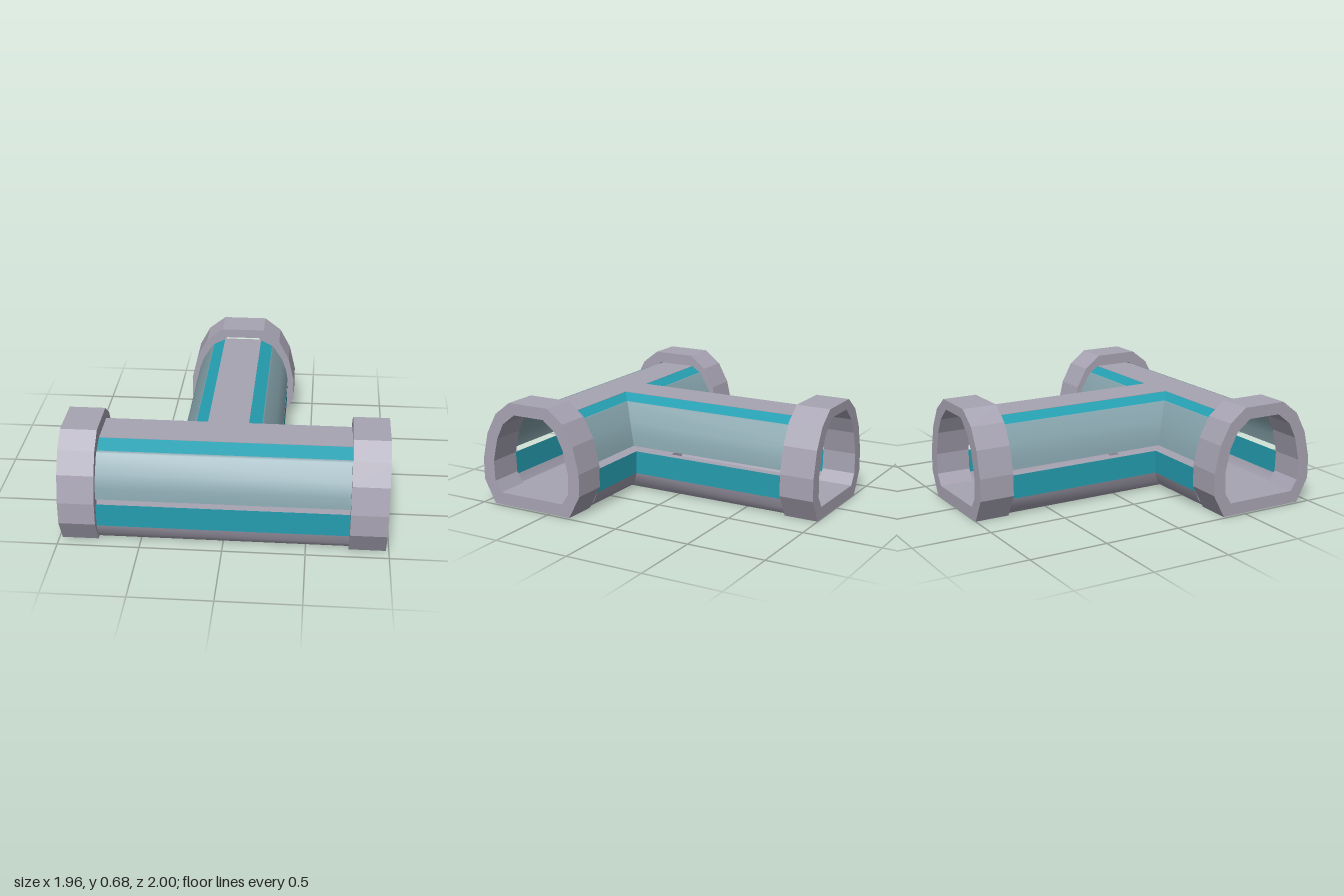
import * as THREE from 'three';

const steel = new THREE.MeshStandardMaterial({ color: 0xa8a4b4, side: THREE.DoubleSide });
const teal = new THREE.MeshStandardMaterial({ color: 0x259fb1, side: THREE.DoubleSide });
const glass = new THREE.MeshStandardMaterial({ color: 0x86a3ac, side: THREE.DoubleSide });
steel.name = 'steel grey';
teal.name = 'teal trim';
glass.name = 'window grey';

const END_X = 0.77, END_Z = -0.79, MAIN_Z = 0.635;

// Surface between equally long rows of points, smooth within itself
function sheet(rows) {
  const n = rows[0].length, index = [];
  for (let r = 0; r < rows.length - 1; r++) {
    for (let c = 0; c < n - 1; c++) {
      const a = r * n + c, b = a + n;
      index.push(a, a + 1, b, b, a + 1, b + 1);
    }
  }
  const g = new THREE.BufferGeometry();
  g.setAttribute('position', new THREE.Float32BufferAttribute(rows.flat(2), 3));
  g.setIndex(index);
  g.computeVertexNormals();
  return g;
}

// T-shaped slab lying flat between two heights
function tSlab(halfStem, zBack, zFront, y0, y1) {
  const pts = [[-END_X, zFront], [END_X, zFront], [END_X, zBack], [halfStem, zBack],
    [halfStem, END_Z], [-halfStem, END_Z], [-halfStem, zBack], [-END_X, zBack]];
  const shape = new THREE.Shape(pts.map(p => new THREE.Vector2(...p)));
  const g = new THREE.ExtrudeGeometry(shape, { depth: y1 - y0, bevelEnabled: false });
  return g.rotateX(Math.PI / 2).translate(0, y1, 0);
}

// Closed symmetric outline from its right half, listed bottom to top
function outline(half, Type) {
  const mirrored = half.map(([x, y]) => [-x, y]).reverse();
  return new Type([...half, ...mirrored].map(p => new THREE.Vector2(...p)));
}

function collar(innerTop) {
  const shape = outline([[0.285, 0], [0.365, 0.15], [0.365, 0.29], [0.325, 0.46],
    [0.255, 0.59], [0.145, 0.675]], THREE.Shape);
  shape.holes.push(outline([[0.235, 0.08], [0.28, 0.15], [0.285, 0.28], [0.25, 0.43],
    [0.2, 0.53], [0.11, innerTop]], THREE.Path));
  return new THREE.ExtrudeGeometry(shape, { depth: 0.222, bevelEnabled: false });
}

export function createModel() {
  const model = new THREE.Group();
  model.name = 'teeCorridor';
  const add = (name, geometry, material) => {
    const mesh = new THREE.Mesh(geometry, material);
    mesh.name = name;
    model.add(mesh);
    return mesh;
  };

  // Floor and roof
  add('floor', tSlab(0.255, 0.36, 0.89, 0.004, 0.08), steel);
  add('roofStrip', tSlab(0.127, 0.48, 0.73, 0.585, 0.6), steel);

  // Wall bands as points: height, stem x, rear wall z, front wall z
  const bands = [
    ['floorEdge', steel, [[0.004, 0.255, 0.36, 0.89], [0.05, 0.295, 0.31, 0.93], [0.115, 0.318, 0.283, 0.953]]],
    ['lowerPanel', teal, [[0.115, 0.318, 0.283, 0.953], [0.265, 0.32, 0.28, 0.955]]],
    ['window', glass, [[0.3, 0.32, 0.3, 0.955], [0.37, 0.308, 0.318, 0.943], [0.45, 0.28, 0.35, 0.915],
      [0.555, 0.213, 0.412, 0.845], [0.56, 0.203, 0.422, 0.822]]],
    ['upperTrim', teal, [[0.56, 0.205, 0.42, 0.822], [0.598, 0.127, 0.48, 0.73]]],
  ];
  for (const [name, material, points] of bands) {
    add(name + 'Front', sheet(points.map(([y, , , f]) => [[-END_X, y, f], [END_X, y, f]])), material);
    // Rear wall and stem wall meet in a mitre on each side
    for (const [s, side] of [[1, 'Left'], [-1, 'Right']]) {
      const rear = points.map(([y, x, z]) => [[s * END_X, y, z], [s * x, y, z]]);
      const stem = points.map(([y, x, z]) => [[s * x, y, z], [s * x, y, END_Z]]);
      if (s < 0) [rear, stem].forEach(rows => rows.forEach(row => row.reverse()));
      add(name + 'Rear' + side, sheet(rear), material);
      add(name + 'Stem' + side, sheet(stem), material);
    }
  }

  // Collars on the three open ends
  for (const [x, side] of [[0.76, 'Left'], [-0.982, 'Right']]) {
    const ring = add('collar' + side, collar(0.6), steel);
    ring.rotation.y = Math.PI / 2;
    ring.position.set(x, 0, MAIN_Z);
  }
  add('collarBack', collar(0.615), steel).position.z = -1;

  return model;
}
